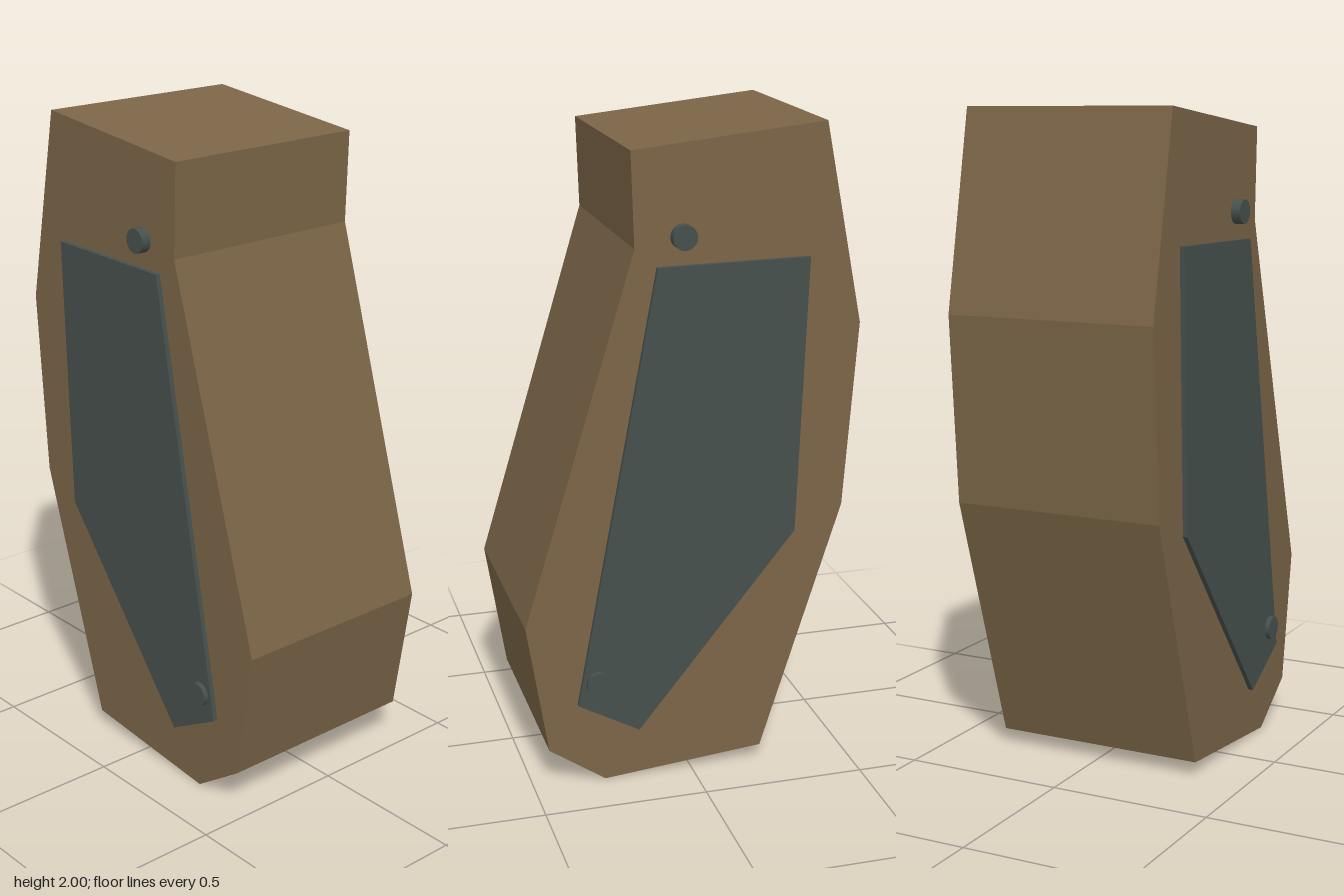
import * as THREE from 'three';

// Extrudes a side outline of [z, y] points from x0 to x0 + width
function sideExtrude(points, x0, width) {
  const shape = new THREE.Shape(points.map(([z, y]) => new THREE.Vector2(-z, y)));
  const geometry = new THREE.ExtrudeGeometry(shape, { depth: width, bevelEnabled: false });
  geometry.rotateY(Math.PI / 2);
  geometry.translate(x0, 0, 0);
  return geometry;
}

export function createModel() {
  const brown = new THREE.MeshStandardMaterial({ color: 0x7b6547 });
  brown.name = 'brown grip';
  const slate = new THREE.MeshStandardMaterial({ color: 0x46504d });
  slate.name = 'slate metal';

  const model = new THREE.Group();
  model.name = 'grip';
  const add = (name, geometry, material) => {
    const mesh = new THREE.Mesh(geometry, material);
    mesh.name = name;
    model.add(mesh);
    return mesh;
  };

  // Faceted body
  const half = 0.335;
  const bodyOutline = [
    [0.185, 1.94], [0.175, 1.66], [0.515, 0.53], [0.45, 0.12], [0.275, 0],
    [-0.225, 0.045], [-0.475, 0.83], [-0.515, 1.4], [-0.397, 2],
  ];
  add('body', sideExtrude(bodyOutline, -half, half * 2), brown);

  // Inlaid side panels and pins, mirrored left and right
  const panelOutline = [
    [0.11, 1.605], [0.36, 0.265], [0.17, 0.16], [-0.32, 0.765], [-0.35, 1.61],
  ];
  const thickness = 0.015;
  const pins = { upperPin: [1.69, 0.033], lowerPin: [0.335, 0.298] };
  for (const [side, s] of [['left', 1], ['right', -1]]) {
    add(`${side}Panel`, sideExtrude(panelOutline, s > 0 ? half : -half - thickness, thickness), slate);
    for (const [name, [y, z]] of Object.entries(pins)) {
      const pinGeometry = new THREE.CylinderGeometry(0.037, 0.037, 0.03, 16);
      pinGeometry.rotateZ(Math.PI / 2);
      add(`${side} ${name}`, pinGeometry, slate).position.set(s * 0.35, y, z);
    }
  }
  return model;
}
